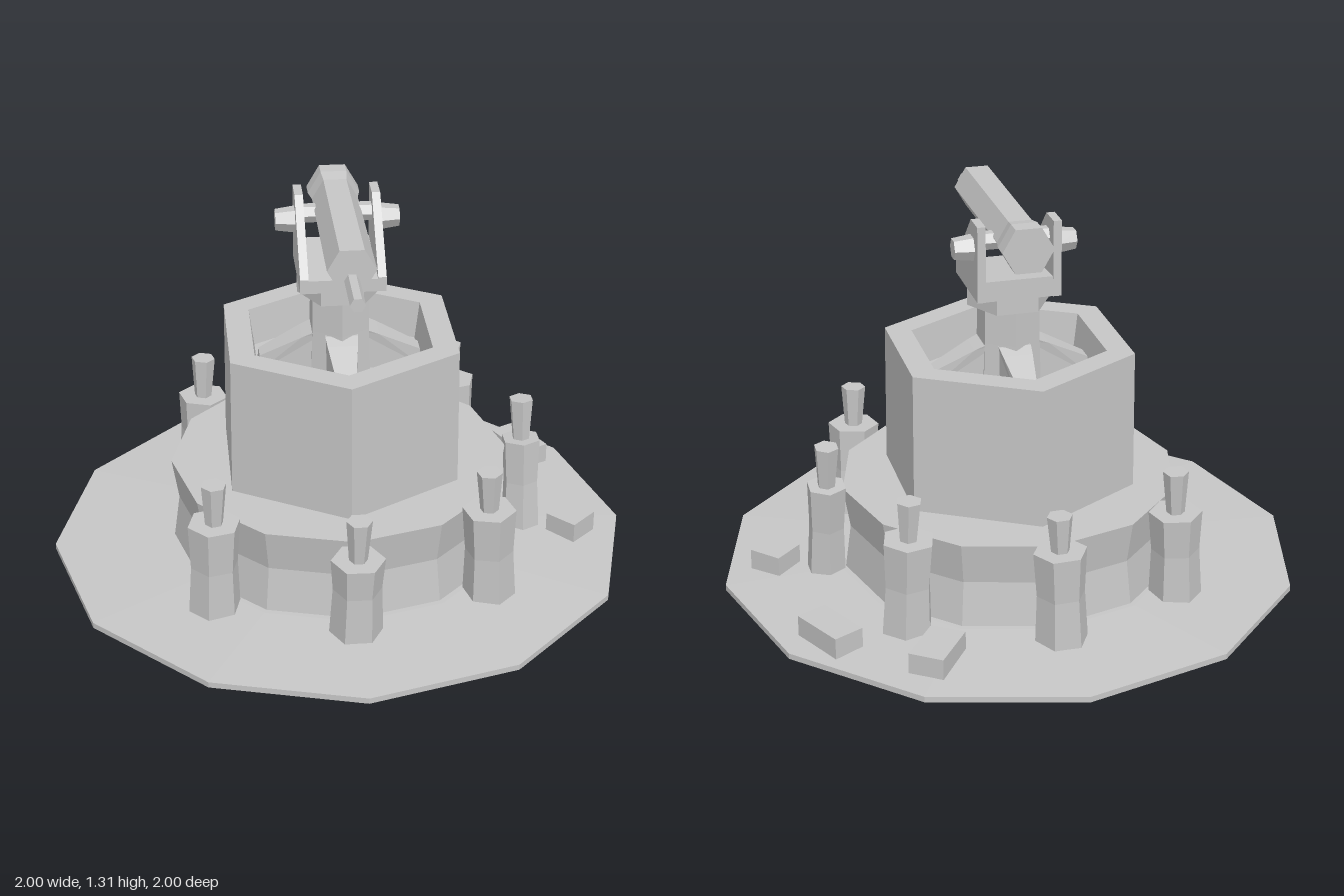
import * as THREE from 'three';

export function createModel() {
  const model = new THREE.Group();
  const stone = new THREE.MeshStandardMaterial({ color: 0xc6c6c6, flatShading: true, side: THREE.DoubleSide });

  const add = (name, geometry, x = 0, y = 0, z = 0, parent = model) => {
    const mesh = new THREE.Mesh(geometry, stone);
    mesh.name = name;
    mesh.position.set(x, y, z);
    parent.add(mesh);
    return mesh;
  };
  // Faceted solid of revolution from [radius, y] pairs, bottom to top
  const turned = (points, sides, start = 0) =>
    new THREE.LatheGeometry(points.map(([r, y]) => new THREE.Vector2(r, y)), sides, start);
  // Side profile of [z, y] pairs extruded along x, centred on x = 0
  const slab = (points, width) => {
    const shape = new THREE.Shape(points.map(([z, y]) => new THREE.Vector2(-z, y)));
    return new THREE.ExtrudeGeometry(shape, { depth: width, bevelEnabled: false })
      .translate(0, 0, -width / 2).rotateY(Math.PI / 2);
  };
  const HALF = Math.PI / 6; // puts hexagon corners on the x axis

  // Ground plate, slightly dished underneath
  add('groundPlate', turned([[0, 0.018], [0.6, 0.018], [1, 0], [1, 0.02], [0.6, 0.037], [0, 0.037]], 12));

  // Waisted drum, open below, and hollow hexagonal tower
  add('drum', turned([[0.585, 0.008], [0.56, 0.19], [0.583, 0.335], [0, 0.335]], 12));
  add('tower', turned([[0.443, 0.33], [0.438, 0.82], [0.342, 0.82], [0.322, 0.69], [0, 0.69]], 6));

  // Pedestal with four tapered buttresses
  add('pedestal', turned([[0.115, 0.68], [0.11, 0.84], [0.108, 0.97]], 6));
  for (let i = 0; i < 4; i++) {
    const wedge = slab([[0.05, 0.68], [0.28, 0.68], [0.272, 0.745], [0.13, 0.817], [0.09, 0.835], [0.05, 0.835]], 0.11);
    const p = wedge.attributes.position;
    for (let k = 0; k < p.count; k++) {
      p.setX(k, p.getX(k) * (1 - 0.5 * Math.max(0, p.getZ(k) - 0.1) / 0.19));
    }
    wedge.computeVertexNormals();
    add('buttress', wedge).rotation.y = i * Math.PI / 2;
  }
  add('collar', turned([[0, 0.965], [0.142, 0.965], [0.142, 1.03], [0, 1.03]], 6, HALF));

  // Cradle: floor and two side plates
  add('cradleFloor', slab([[0.15, 1.025], [0.15, 1.07], [-0.145, 1.095], [-0.145, 1.025]], 0.27));
  for (const side of [-1, 1]) {
    add('cradlePlate',
      slab([[0.15, 1.025], [0.15, 1.075], [-0.06, 1.287], [-0.148, 1.287], [-0.148, 1.025]], 0.028),
      side * 0.128);
    const knob = add('trunnionKnob', turned([[0, 0], [0.045, 0], [0.036, 0.065], [0, 0.065]], 6),
      side * 0.142, 1.195, -0.075);
    knob.rotation.z = -side * Math.PI / 2;
  }
  const axle = add('axle', new THREE.CylinderGeometry(0.032, 0.032, 0.25, 6), 0, 1.215, -0.075);
  axle.rotation.z = Math.PI / 2;

  // Gun, turned along z
  const barrel = add('barrel',
    turned([[0, -0.258], [0.087, -0.258], [0.087, -0.2], [0.077, -0.15], [0.079, 0.425], [0, 0.425]], 6, HALF),
    0, 1.233, 0);
  barrel.rotation.x = Math.PI / 2;
  const muzzle = add('muzzle', new THREE.CylinderGeometry(0.025, 0.025, 0.2, 6, 1, false, HALF), 0, 1.198, 0.502);
  muzzle.rotation.x = Math.PI / 2;

  // Ring of posts: x, z, shaft top, stub top, radius, turn, sideways shift of the top in x and z
  const posts = [
    [0, 0.65, 0.312, 0.46, 0.09, 0, 0.006, 0.01],
    [0, -0.65, 0.355, 0.48, 0.09, 0, 0.008, 0],
    [0.455, 0.46, 0.36, 0.503, 0.09, -0.26, -0.01, 0.008],
    [-0.455, 0.46, 0.36, 0.505, 0.09, 0.26, 0.006, 0.006],
    [0.455, -0.46, 0.36, 0.5, 0.09, 0.26, -0.01, -0.01],
    [-0.455, -0.46, 0.34, 0.49, 0.09, -0.26, 0.01, -0.006],
    [0.64, -0.006, 0.36, 0.51, 0.07, 0.52, -0.006, -0.028],
  ];
  for (const [x, z, top, tip, r, turn, dx, dz] of posts) {
    const post = new THREE.Group();
    post.name = 'post';
    post.position.set(x - dx, 0, z - dz);
    post.rotation.set(dz / top, turn, -dx / top, 'XZY');
    add('postShaft', turned([[0, 0.02], [r, 0.02], [r * 0.9, 0.2], [r, top], [0, top]], 6, HALF), 0, 0, 0, post);
    add('postStub', turned([[0.03, top - 0.01], [0.043, tip], [0, tip]], 6, HALF), 0, 0, 0, post);
    model.add(post);
  }

  // Loose blocks: x, z, width, length, turn
  const blocks = [
    [0.415, -0.68, 0.12, 0.19, -0.62],
    [0.722, -0.465, 0.11, 0.2, 0.47],
    [0.812, 0.087, 0.12, 0.12, 0.76],
  ];
  for (const [x, z, w, l, turn] of blocks) {
    add('block', new THREE.BoxGeometry(w, 0.094, l), x, 0.049, z).rotation.y = turn;
  }

  return model;
}
